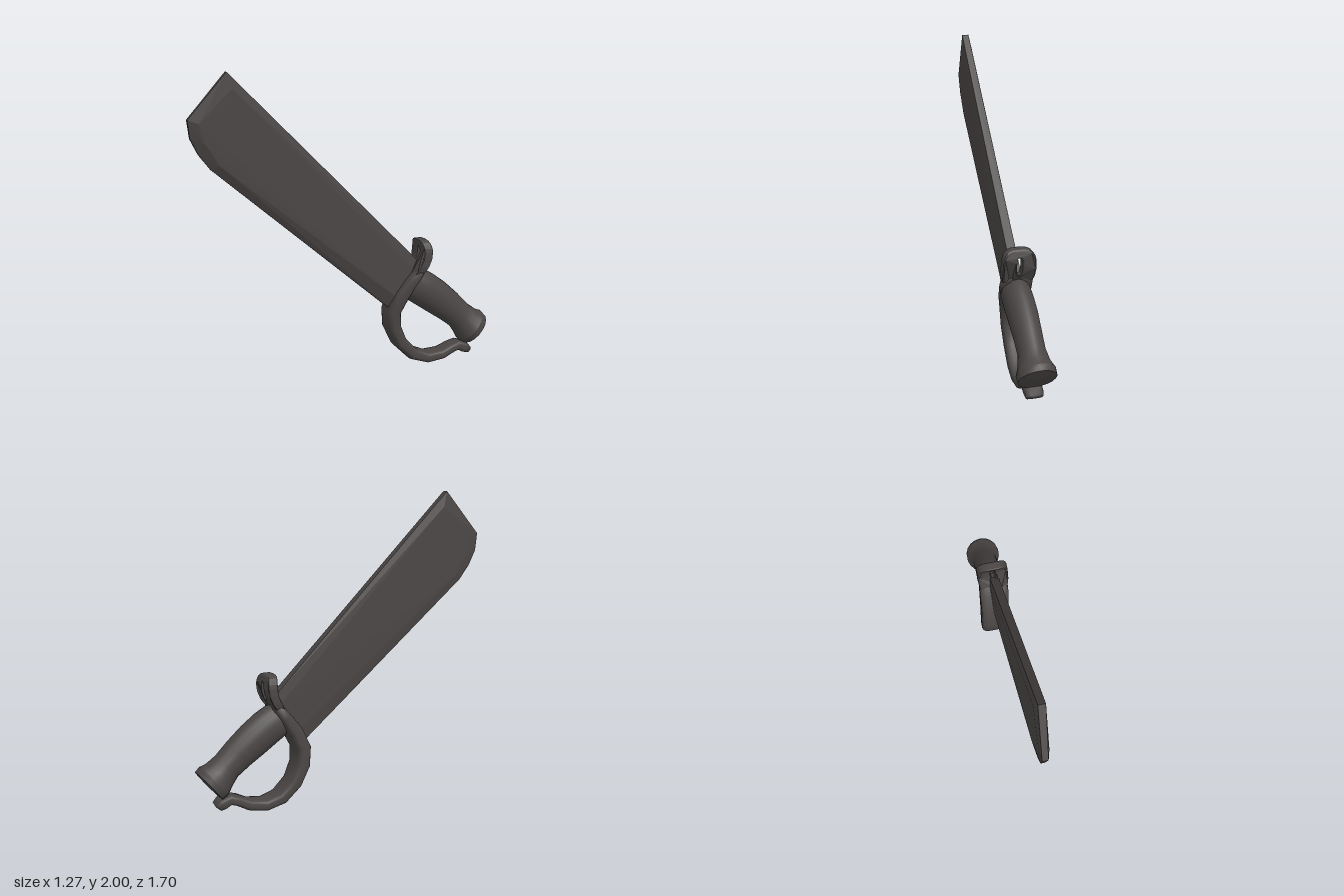
import * as THREE from 'three';
import { ConvexGeometry } from 'three/addons/geometries/ConvexGeometry.js';

const darkSteel = new THREE.MeshStandardMaterial({ color: 0x4a4545 });
darkSteel.name = 'darkSteel';

// Signed power: turns a circle into a rounded rectangle when p < 1
const squash = (v, p) => Math.sign(v) * Math.pow(Math.abs(v), p);

// Sweeps a rounded section along stations [x, y, z, halfWidth, halfThickness]
function sweep(stations, roundness, sides = 18) {
  const pos = [], index = [];
  stations.forEach(([x, y, z, w, t], i) => {
    const a = stations[Math.max(i - 1, 0)], b = stations[Math.min(i + 1, stations.length - 1)];
    const dir = new THREE.Vector2(b[0] - a[0], b[1] - a[1]).normalize();
    for (let j = 0; j < sides; j++) {
      const ang = (j / sides) * Math.PI * 2;
      const n = squash(Math.cos(ang), roundness) * t;
      pos.push(x - dir.y * n, y + dir.x * n, z + squash(Math.sin(ang), roundness) * w);
      if (i < stations.length - 1) {
        const p = i * sides + j, q = i * sides + ((j + 1) % sides);
        index.push(p, q, q + sides, p, q + sides, p + sides);
      }
    }
  });
  const geo = new THREE.BufferGeometry();
  geo.setAttribute('position', new THREE.Float32BufferAttribute(pos, 3));
  geo.setIndex(index);
  geo.computeVertexNormals();
  return geo;
}

// Rounded-rectangle outline used for the slotted plate and its slot
function outline(target, cy, halfW, halfH) {
  const points = [];
  for (let i = 0; i < 28; i++) {
    const a = (i / 28) * Math.PI * 2;
    points.push(new THREE.Vector2(squash(Math.cos(a), 0.6) * halfW, cy + squash(Math.sin(a), 0.6) * halfH));
  }
  return target.setFromPoints(points);
}

export function createModel() {
  const sword = new THREE.Group();
  sword.name = 'sword';
  const add = (name, geo) => {
    const mesh = new THREE.Mesh(geo, darkSteel);
    mesh.name = name;
    sword.add(mesh);
  };

  // Blade: bevelled spine and tip, thin cutting edge; [x, y, z, half thickness]
  const bladePoints = [
    [-0.81, 2.0, 0.005, 0.022], [0.5, 0.705, 0, 0.03], [0.3, 0.4, -0.015, 0.012], [0.25, 0.435, -0.02, 0.01],
    [-0.91, 1.405, -0.03, 0.01], [-0.985, 1.5, -0.03, 0.01], [-1.035, 1.6, -0.028, 0.012],
    [-1.05, 1.715, -0.02, 0.018], [-0.78, 1.9, 0, 0.034], [0.44, 0.68, -0.002, 0.037],
    [0.36, 0.46, -0.005, 0.034], [-0.86, 1.43, -0.018, 0.03], [-0.95, 1.57, -0.015, 0.03],
    [-0.985, 1.69, -0.012, 0.03],
  ];
  add('blade', new ConvexGeometry(bladePoints.flatMap(([x, y, z, t]) =>
    [new THREE.Vector3(x, y, z + t), new THREE.Vector3(x, y, z - t)])));

  // Guard: curled end, knuckle bow, then the wide cross plate
  add('guard', sweep([
    [0.875, 0.06, -0.01, 0.002, 0.002], [0.87, 0.065, -0.01, 0.055, 0.025],
    [0.84, 0.085, -0.01, 0.06, 0.038], [0.79, 0.105, -0.01, 0.06, 0.034],
    [0.74, 0.09, -0.012, 0.065, 0.032], [0.67, 0.055, -0.018, 0.07, 0.034],
    [0.56, 0.04, -0.028, 0.075, 0.037], [0.455, 0.075, -0.038, 0.08, 0.041],
    [0.365, 0.165, -0.045, 0.085, 0.044], [0.312, 0.28, -0.045, 0.09, 0.048],
    [0.305, 0.39, -0.04, 0.092, 0.05], [0.355, 0.5, -0.025, 0.098, 0.05],
    [0.425, 0.6, -0.015, 0.102, 0.044], [0.475, 0.67, -0.01, 0.1, 0.034],
    [0.495, 0.705, -0.01, 0.002, 0.002],
  ], 0.6));

  // Upper guard: slotted plate curling toward the blade
  const plate = outline(new THREE.Shape(), 0.75, 0.098, 0.12);
  plate.holes.push(outline(new THREE.Path(), 0.77, 0.026, 0.065));
  const upper = new THREE.ExtrudeGeometry(plate, {
    depth: 0.04, bevelSize: 0.01, bevelThickness: 0.012, bevelSegments: 2,
  });
  upper.translate(0, 0, -0.02).rotateY(-Math.PI / 2);
  const p = upper.attributes.position;
  for (let i = 0; i < p.count; i++) {
    p.setXYZ(i, p.getX(i) + 0.52 - 2.8 * (p.getY(i) - 0.8) ** 2, p.getY(i), p.getZ(i) - 0.008);
  }
  upper.computeVertexNormals();
  add('upperGuard', upper);

  // Handle: slightly bowed oval grip flaring into a round pommel
  add('handle', sweep([
    [0.425, 0.588, -0.005, 0.002, 0.002], [0.43, 0.585, -0.005, 0.085, 0.105],
    [0.46, 0.57, -0.005, 0.095, 0.118], [0.53, 0.528, -0.007, 0.096, 0.12],
    [0.62, 0.465, -0.01, 0.094, 0.118], [0.72, 0.388, -0.01, 0.088, 0.108],
    [0.8, 0.318, -0.01, 0.086, 0.099], [0.85, 0.268, -0.01, 0.1, 0.11],
    [0.888, 0.233, -0.01, 0.122, 0.128], [0.888, 0.233, -0.01, 0.122, 0.128],
    [0.92, 0.207, -0.01, 0.12, 0.122], [0.92, 0.207, -0.01, 0.12, 0.122],
    [0.926, 0.202, -0.01, 0.002, 0.002],
  ], 1));

  // Turn the blade plane to its diagonal heading
  sword.rotation.y = 0.952;
  const model = new THREE.Group();
  model.name = 'cutlass';
  model.add(sword);
  return model;
}
